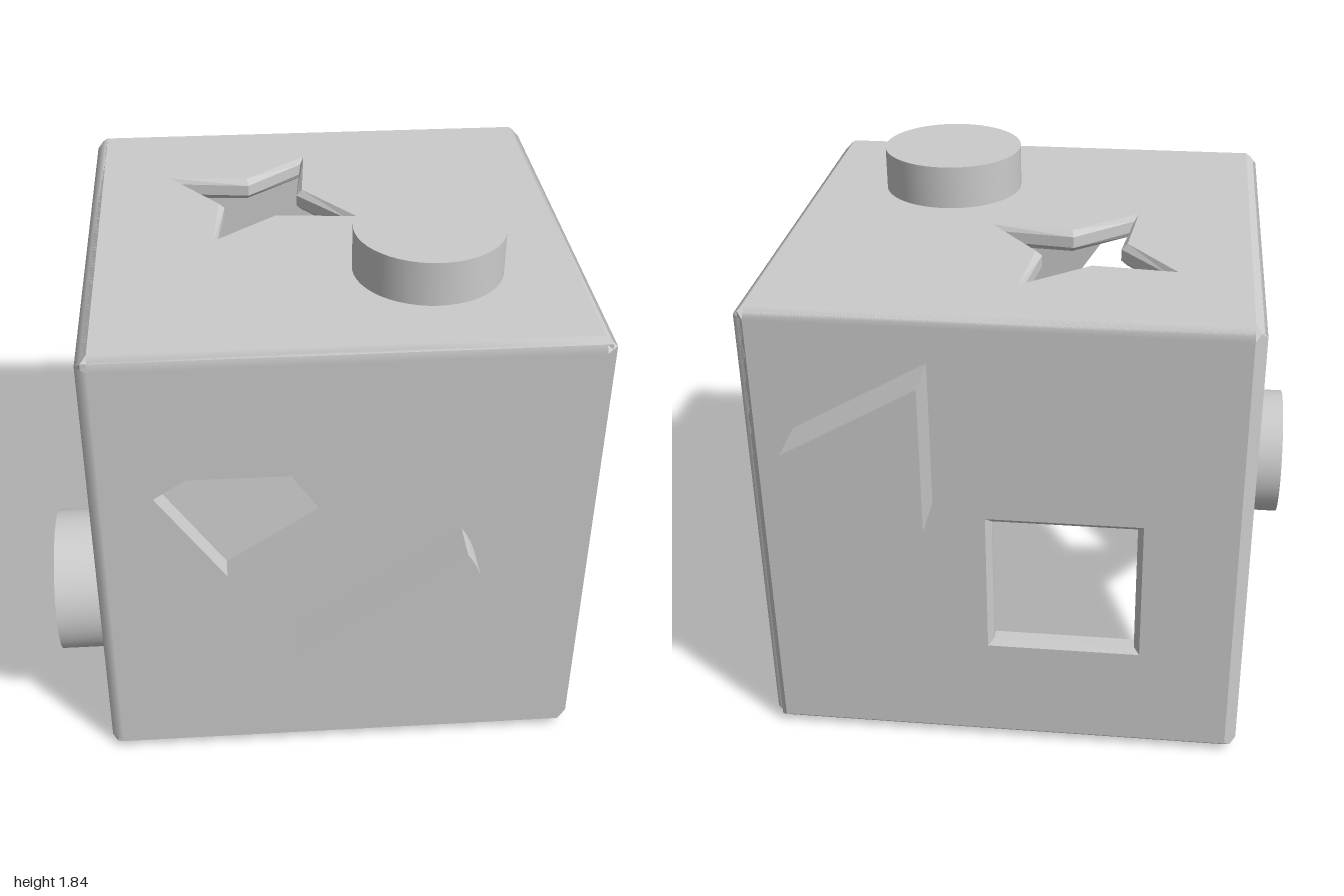
import * as THREE from 'three';
import { toCreasedNormals } from 'three/addons/utils/BufferGeometryUtils.js';

const H = 0.842;     // half size of the cube
const R = 0.04;      // chamfer on the cube edges
const WALL = 0.08;   // wall thickness
const PEG = 0.28;    // length of the pegs
const C = new THREE.Vector3(0.08, H, 0.02); // cube centre

const material = new THREE.MeshStandardMaterial({ color: 0xcccccc });

function addMesh(parent, name, geometry) {
  const mesh = new THREE.Mesh(geometry, material);
  mesh.name = name;
  parent.add(mesh);
  return mesh;
}

// Points of a regular polygon, or of a star when a second radius is given
function ring(cx, cy, count, angle, r1, r2 = r1) {
  return Array.from({ length: count }, (_, i) => {
    const a = angle + (i / count) * Math.PI * 2;
    const r = i % 2 ? r2 : r1;
    return [cx + Math.cos(a) * r, cy + Math.sin(a) * r];
  });
}

// Each face: turn of its frame, and the map from model positions to its plane
const FACES = {
  front: { turn: [0, 0], map: (x, y) => [x - C.x, y - C.y] },
  back: { turn: [0, Math.PI], map: (x, y) => [C.x - x, y - C.y] },
  right: { turn: [0, -Math.PI / 2], map: (z, y) => [z - C.z, y - C.y] },
  left: { turn: [0, Math.PI / 2], map: (z, y) => [C.z - z, y - C.y] },
  top: { turn: [-Math.PI / 2, 0], map: (x, z) => [x - C.x, C.z - z] },
  bottom: { turn: [Math.PI / 2, 0], map: (x, z) => [x - C.x, z - C.z] },
};

function toPoints(face, list) {
  return list.map(([a, b]) => new THREE.Vector2(...FACES[face].map(a, b)));
}

// A wall plate with cut-outs, and the peg pushed through it
function addFace(body, face, { holes, bevel = 0, peg, reach }) {
  const group = new THREE.Group();
  group.name = face + 'Face';
  group.rotation.set(...FACES[face].turn, 0);
  body.add(group);

  const e = H - R;
  const plate = new THREE.Shape([[-e, -e], [e, -e], [e, e], [-e, e]].map(p => new THREE.Vector2(...p)));
  for (const hole of holes) plate.holes.push(new THREE.Path(toPoints(face, hole)));
  const geometry = new THREE.ExtrudeGeometry(plate, {
    depth: WALL - 2 * bevel,
    bevelEnabled: bevel > 0,
    bevelSize: bevel,
    bevelThickness: bevel,
    bevelSegments: 1,
  });
  addMesh(group, face + 'Wall', geometry).position.z = H - WALL + bevel;

  if (peg) {
    const solid = new THREE.ExtrudeGeometry(new THREE.Shape(toPoints(face, peg)), {
      depth: PEG, bevelEnabled: false,
    });
    addMesh(group, face + 'Peg', toCreasedNormals(solid, 0.5)).position.z = H + reach - PEG;
  }
}

export function createModel() {
  const model = new THREE.Group();
  model.name = 'shapeSorter';
  const body = new THREE.Group();
  body.name = 'cube';
  body.position.copy(C);
  model.add(body);

  // Half disc
  const tilt = Math.atan2(0.4, 0.55);
  const halfDisc = Array.from({ length: 33 }, (_, i) => {
    const a = tilt - Math.PI + (i / 32) * Math.PI;
    return [0.19 + 0.34 * Math.cos(a), 0.775 + 0.34 * Math.sin(a)];
  });

  addFace(body, 'front', {
    holes: [ring(-0.265, 1.095, 4, 0.595 + Math.PI / 4, 0.29)],
    peg: halfDisc, reach: 0.138,
  });

  // Square hole and triangular peg
  addFace(body, 'back', {
    holes: [ring(-0.14, 0.68, 4, Math.PI / 4, 0.375)], bevel: 0.02,
    peg: ring(0.45, 1.26, 3, 0, 0.3), reach: 0.178,
  });

  addFace(body, 'left', {
    holes: [ring(-0.095, 0.772, 4, Math.atan2(0.268, 0.06), 0.274)],
  });

  // Trapezoid and pentagon holes, round peg
  addFace(body, 'right', {
    holes: [
      [[0.1, 0.66], [0.56, 1.457], [0.16, 1.457], [-0.1, 1.006]],
      ring(-0.21, 0.4, 5, Math.PI / 2, 0.375),
    ],
    bevel: 0.02,
    peg: ring(0.48, 0.505, 48, 0, 0.254), reach: 0.165,
  });

  // Star hole and round peg
  addFace(body, 'top', {
    holes: [ring(-0.143, -0.222, 8, Math.atan2(-0.334, 0.18), 0.379, 0.161)], bevel: 0.02,
    peg: ring(0.39, 0.35, 48, 0, 0.254), reach: 0.155,
  });

  // Open underside: only a rim
  addFace(body, 'bottom', {
    holes: [ring(C.x, C.z, 4, Math.PI / 4, (H - WALL) * Math.SQRT2)],
  });

  // Chamfered edges and corners
  const e = H - R;
  const bar = new THREE.CylinderGeometry(R, R, 2 * e, 4, 1, true);
  const tip = new THREE.OctahedronGeometry(R);
  for (const a of [-e, e]) {
    for (const b of [-e, e]) {
      addMesh(body, 'uprightEdge', bar).position.set(a, 0, b);
      const across = addMesh(body, 'crossEdge', bar);
      across.rotation.z = Math.PI / 2;
      across.position.set(0, a, b);
      const deep = addMesh(body, 'sideEdge', bar);
      deep.rotation.x = Math.PI / 2;
      deep.position.set(a, b, 0);
      for (const c of [-e, e]) addMesh(body, 'corner', tip).position.set(a, b, c);
    }
  }
  return model;
}
